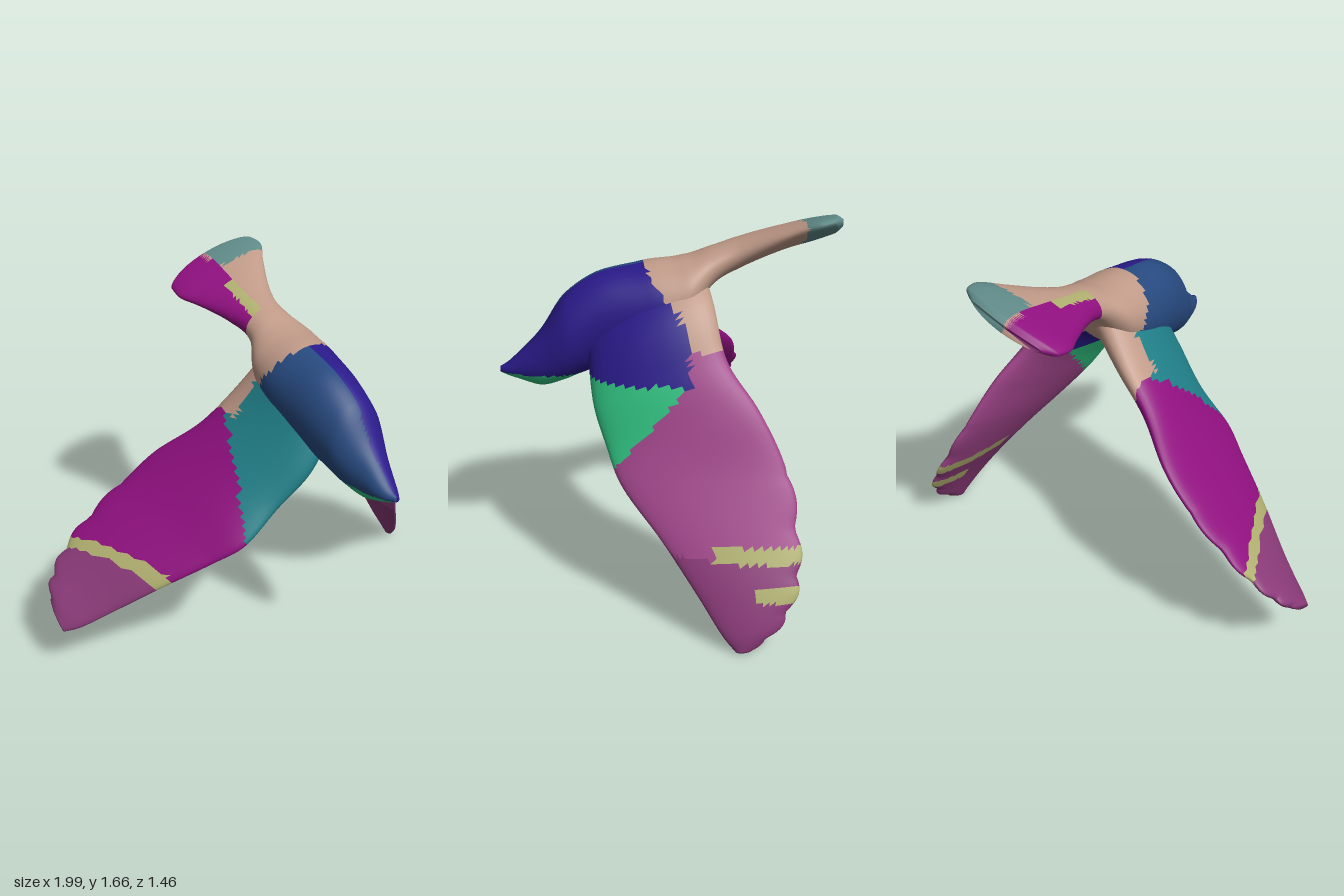
import * as THREE from 'three';

const V = (p) => new THREE.Vector3(...p);
const COLORS = {
  navy: 0x2a1a8a, blue: 0x274a80, green: 0x30c080, rose: 0xa0458a, plum: 0x8a3a78,
  magenta: 0x901080, teal: 0x207f88, tan: 0xc09a88, khaki: 0xb0b070, slate: 0x5f8a88,
};

// Skin closed rings of points, then split the faces into coloured regions
function loft(name, rings, regionOf) {
  const n = rings[0].length;
  const pos = rings.flat().flatMap((p) => [p.x, p.y, p.z]);
  const index = [];
  for (let i = 0; i < rings.length - 1; i++) {
    for (let j = 0; j < n; j++) {
      const a = i * n + j, b = i * n + ((j + 1) % n);
      index.push(a, a + n, b, b, a + n, b + n);
    }
  }
  const base = new THREE.BufferGeometry();
  base.setAttribute('position', new THREE.Float32BufferAttribute(pos, 3));
  base.setIndex(index);
  base.computeVertexNormals();

  const regions = {};
  for (let f = 0; f < index.length; f += 3) {
    const tri = index.slice(f, f + 3);
    const c = [0, 1, 2].map((k) => tri.reduce((s, v) => s + pos[v * 3 + k], 0) / 3);
    (regions[regionOf(...c)] ??= []).push(...tri);
  }
  const group = new THREE.Group();
  group.name = name;
  for (const [region, faces] of Object.entries(regions)) {
    const g = new THREE.BufferGeometry();
    g.setAttribute('position', base.attributes.position);
    g.setAttribute('normal', base.attributes.normal);
    g.setIndex(faces);
    const mesh = new THREE.Mesh(g, new THREE.MeshStandardMaterial({ color: COLORS[region] }));
    mesh.name = `${name} ${region}`;
    group.add(mesh);
  }
  return group;
}

// Collapse the first and last ring to a point to close the skin
function closed(rings) {
  const cap = (r) => {
    const c = r.reduce((s, p) => s.add(p), new THREE.Vector3()).divideScalar(r.length);
    return r.map(() => c.clone());
  };
  return [cap(rings[0]), ...rings, cap(rings[rings.length - 1])];
}

// Wing: sections of [leading edge, trailing edge, half thickness] from root to tip
function makeWing(name, sections, regionOf) {
  const lead = new THREE.CatmullRomCurve3(sections.map((s) => V(s[0])));
  const trail = new THREE.CatmullRomCurve3(sections.map((s) => V(s[1])));
  const thick = new THREE.CatmullRomCurve3(sections.map((s, i) => V([s[2], i, 0])));
  const mid = (t) => lead.getPoint(t).add(trail.getPoint(t)).multiplyScalar(0.5);
  const rings = [];
  const steps = 80, sides = 40;
  for (let i = 0; i <= steps; i++) {
    const t = i / steps;
    const half = lead.getPoint(t).sub(trail.getPoint(t)).multiplyScalar(0.5);
    const span = mid(Math.min(1, t + 0.02)).sub(mid(Math.max(0, t - 0.02)));
    const up = half.clone().cross(span).normalize();
    const h = thick.getPoint(t).x;
    // rounded feather ends along the outer trailing edge
    const fringe = t > 0.5 ? 0.026 * (Math.abs(Math.sin((t - 0.5) * 30)) - 0.5) : 0;
    const ring = [];
    for (let j = 0; j < sides; j++) {
      const a = (j / sides) * Math.PI * 2;
      const c = Math.cos(a);
      const reach = c < 0 ? c * (1 + fringe / half.length() * c * c) : c;
      ring.push(mid(t).addScaledVector(half, reach).addScaledVector(up, Math.sin(a) * h));
    }
    rings.push(ring);
  }
  return loft(name, closed(rings), regionOf);
}

// Body from beak to tail fan: sections of [z, x, y, half width, half height, tilt]
function makeBody() {
  const s = [
    [0.725, 0.165, 0.97, 0.012, 0.012, 0],
    [0.69, 0.165, 0.972, 0.035, 0.03, 0],
    [0.64, 0.165, 0.985, 0.058, 0.062, 0],
    [0.55, 0.17, 1.018, 0.09, 0.123, 0],
    [0.44, 0.165, 1.11, 0.135, 0.19, 0],
    [0.3, 0.158, 1.18, 0.158, 0.21, 0],
    [0.1, 0.165, 1.23, 0.185, 0.205, 0],
    [-0.07, 0.17, 1.305, 0.18, 0.15, 0.05],
    [-0.19, 0.165, 1.41, 0.115, 0.083, 0.15],
    [-0.32, 0.155, 1.465, 0.12, 0.067, 0.28],
    [-0.5, 0.16, 1.525, 0.19, 0.054, 0.33],
    [-0.64, 0.168, 1.56, 0.245, 0.048, 0.33],
    [-0.71, 0.165, 1.573, 0.235, 0.04, 0.33],
    [-0.738, 0.16, 1.575, 0.17, 0.02, 0.33],
  ];
  const place = new THREE.CatmullRomCurve3(s.map(([z, x, y]) => V([x, y, z])));
  const size = new THREE.CatmullRomCurve3(s.map((r) => V(r.slice(3))));
  const rings = [];
  for (let i = 0; i <= 104; i++) {
    const p = place.getPoint(i / 104), q = size.getPoint(i / 104);
    // sweep the corners of the tail fan forwards
    const sweep = 2.2 * Math.max(0, -p.z - 0.4);
    const ring = [];
    for (let j = 0; j < 40; j++) {
      const a = (j / 40) * Math.PI * 2;
      const u = Math.cos(a) * q.x, v = Math.sin(a) * q.y;
      ring.push(V([
        p.x + u * Math.cos(q.z) - v * Math.sin(q.z),
        p.y + u * Math.sin(q.z) + v * Math.cos(q.z),
        p.z + sweep * u * u,
      ]));
    }
    rings.push(ring);
  }
  return loft('body', closed(rings), (x, y, z) => {
    if (z > 0.3 && y < 0.96) return 'green';
    if (z > 0.1 - (1.43 - y) * 0.65) return x < 0.16 ? 'blue' : 'navy';
    if (z < -0.56 && x > 0.16) return 'slate';
    const top = 1.41 + (-0.19 - z) * 0.33 + (x - 0.16) * 0.33;
    if (z < -0.22 && x < 0.14 && y > top - 0.01) return z > -0.45 && x > 0.09 ? 'khaki' : 'magenta';
    if (z < -0.25 && x < 0.08) return z < -0.6 ? 'plum' : 'khaki';
    return 'tan';
  });
}

export function createModel() {
  const model = new THREE.Group();
  model.name = 'bird';
  model.add(makeBody());

  model.add(makeWing('left wing', [
    [[0.15, 1.16, 0.33], [0.16, 1.39, -0.16], 0.12],
    [[0.3, 1.03, 0.345], [0.34, 1.29, -0.18], 0.1],
    [[0.4, 0.88, 0.335], [0.475, 1.09, -0.22], 0.075],
    [[0.485, 0.73, 0.29], [0.585, 0.91, -0.34], 0.06],
    [[0.58, 0.6, 0.24], [0.685, 0.69, -0.44], 0.05],
    [[0.735, 0.4, 0.08], [0.825, 0.43, -0.475], 0.042],
    [[0.87, 0.2, -0.06], [0.925, 0.25, -0.455], 0.036],
    [[0.95, 0.06, -0.15], [0.975, 0.1, -0.37], 0.03],
    [[0.975, 0.0, -0.2], [0.982, 0.005, -0.255], 0.018],
  ], (x, y, z) => {
    if (y > 1.13 && z < -0.09 + (y - 1.13) * 0.5) return 'tan';
    if (y > 1 && z > -0.06) return 'navy';
    if (y < 1 && z > 0.27 - (y - 0.65) * 0.9) return 'green';
    if (Math.abs(y - 0.38) < 0.03 && z < -0.12) return 'khaki';
    if (Math.abs(y - 0.24) < 0.03 && z < -0.29) return 'khaki';
    return y < 0.36 ? 'plum' : 'rose';
  }));

  model.add(makeWing('right wing', [
    [[0.15, 1.13, 0.3], [0.14, 1.35, -0.14], 0.12],
    [[0.02, 0.95, 0.315], [-0.03, 1.15, -0.2], 0.095],
    [[-0.13, 0.8, 0.28], [-0.18, 1.01, -0.25], 0.075],
    [[-0.3, 0.66, 0.27], [-0.36, 0.86, -0.37], 0.06],
    [[-0.42, 0.58, 0.2], [-0.5, 0.74, -0.41], 0.053],
    [[-0.61, 0.46, 0.08], [-0.72, 0.575, -0.43], 0.045],
    [[-0.8, 0.325, -0.05], [-0.87, 0.45, -0.4], 0.038],
    [[-0.93, 0.245, -0.13], [-0.955, 0.36, -0.34], 0.032],
    [[-0.985, 0.225, -0.17], [-0.985, 0.29, -0.26], 0.018],
  ], (x, y, z) => {
    if (z < -0.06 && x > -0.12) return 'tan';
    if (x > -0.14 - (z + 0.1) * 0.4) return 'teal';
    const band = x + 0.62 + (0.05 - z) * 0.42;
    if (Math.abs(band) < 0.022) return 'khaki';
    return band < 0 ? 'plum' : 'magenta';
  }));
  return model;
}
